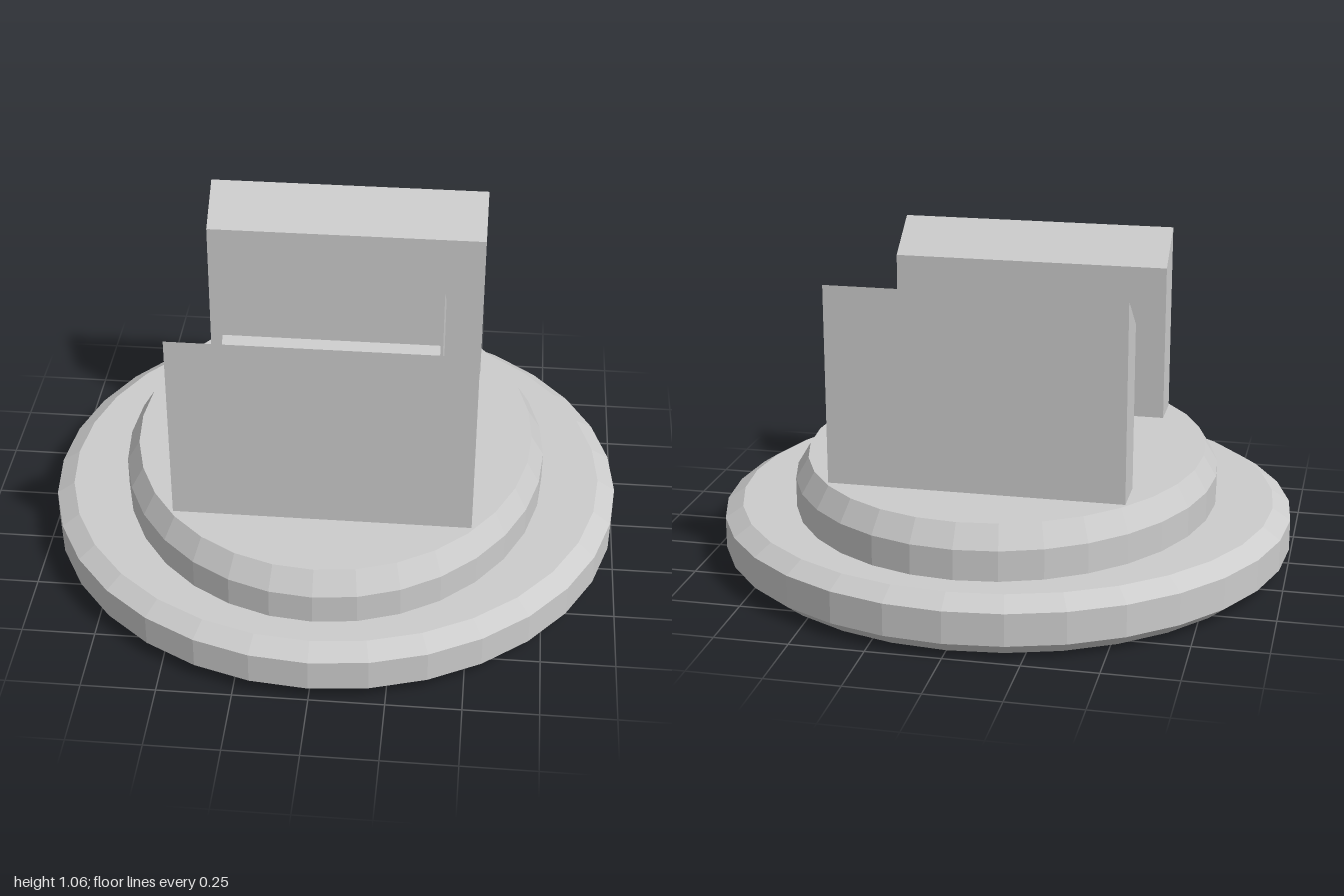
import * as THREE from 'three';

const material = new THREE.MeshStandardMaterial({ color: 0xcccccc, flatShading: true });

function addMesh(group, name, geometry) {
  const mesh = new THREE.Mesh(geometry, material);
  mesh.name = name;
  group.add(mesh);
  return mesh;
}

// Closed disc turned from [radius, height] pairs, listed bottom to top
function disc(profile) {
  return new THREE.LatheGeometry(profile.map(([r, y]) => new THREE.Vector2(r, y)), 32);
}

// Prism along x from a [z, y] outline, centred on x = 0
function prism(outline, width) {
  const shape = new THREE.Shape(outline.map(([z, y]) => new THREE.Vector2(z, y)));
  const geometry = new THREE.ExtrudeGeometry(shape, { depth: width, bevelEnabled: false });
  return geometry.translate(0, 0, -width / 2).rotateY(-Math.PI / 2);
}

export function createModel() {
  const group = new THREE.Group();
  group.name = 'clampStand';

  // Round base, chamfered at both rims
  addMesh(group, 'base', disc([[0, 0], [0.938, 0], [1, 0.05], [1, 0.16], [0.938, 0.2], [0, 0.2]]));

  // Oval step, chamfered at the top and longer front to back
  const step = addMesh(group, 'ovalStep', disc([[0, 0.19], [0.845, 0.19], [0.845, 0.303], [0.794, 0.377], [0, 0.377]]));
  step.scale.x = 0.738 / 0.845;

  // Tall outer walls, tops sloping down towards the middle
  for (const [name, s] of [['frontWall', 1], ['backWall', -1]]) {
    addMesh(group, name, prism(
      [[0.377 * s, 0.36], [0.533 * s, 0.36], [0.533 * s, 1.056], [0.377 * s, 0.94]], 1));
  }

  // U-shaped cradle between the walls
  addMesh(group, 'cradle', prism([
    [-0.377, 0.36], [0.378, 0.36], [0.378, 0.708], [0.174, 0.856],
    [0.174, 0.482], [-0.151, 0.482], [-0.151, 0.856], [-0.377, 0.692],
  ], 0.732));

  return group;
}
